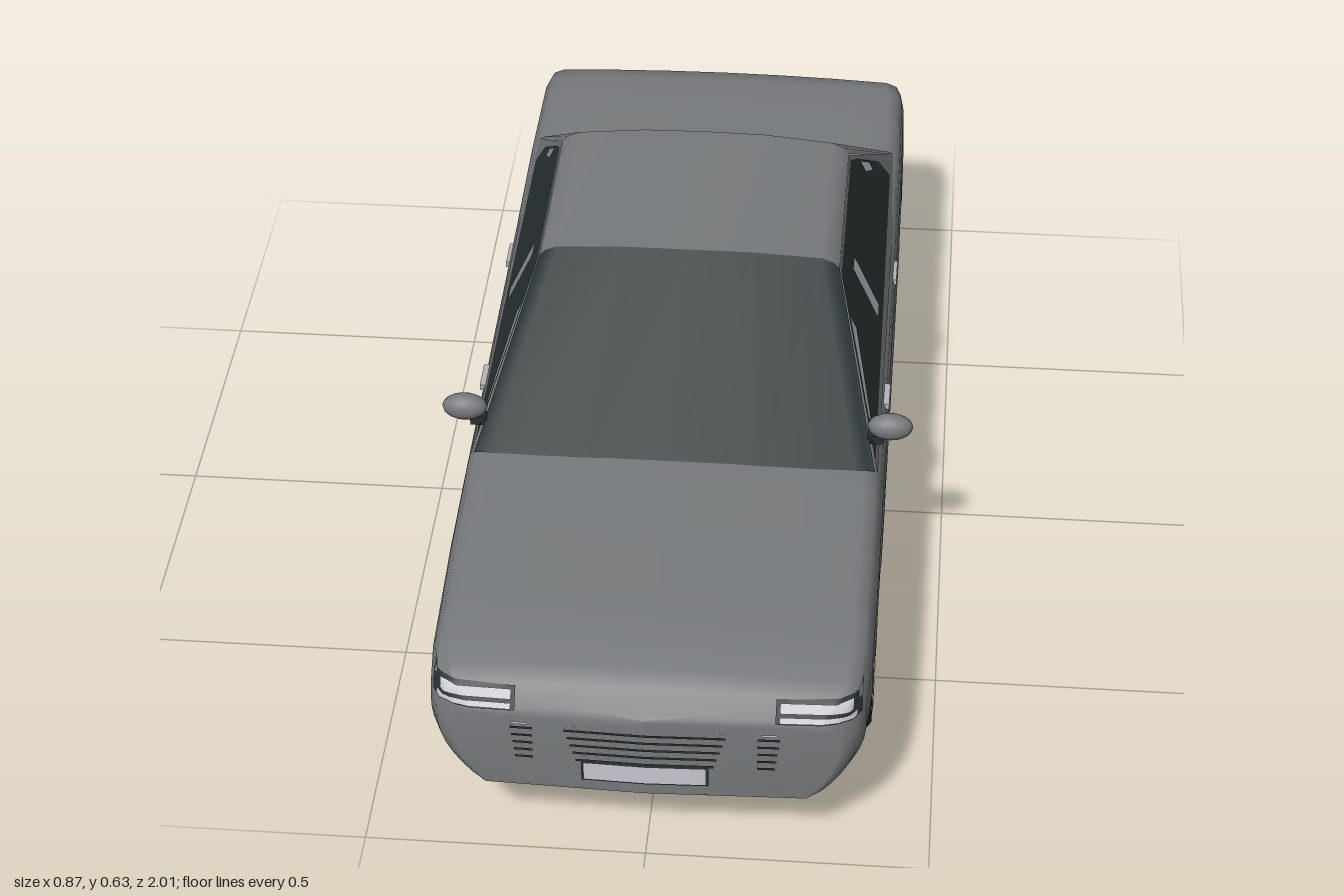
import * as THREE from 'three';

const mat = (name, color, side = THREE.FrontSide) =>
  Object.assign(new THREE.MeshStandardMaterial({ color, side }), { name });
const paint = mat('body paint', 0x777a7c, THREE.DoubleSide);
const glass = mat('dark glass', 0x293233);
const rubber = mat('rubber and underbody', 0x2a3130, THREE.DoubleSide);
const metal = mat('wheel metal', 0xb4b6b9);
const pale = mat('lamp and plate white', 0xc8c8d2);
const red = mat('tail lamp red', 0xdc422d);

const AXLES = [0.59, -0.605], ARCH = 0.165, HUB_Y = 0.138;

// Smooth surface through rows of [x, y, z] points
function grid(rows) {
  const n = rows[0].length, index = [];
  for (let i = 0; i < rows.length - 1; i++)
    for (let j = 0; j < n - 1; j++) {
      const a = i * n + j, b = a + 1, c = a + n, d = c + 1;
      index.push(a, b, d, a, d, c);
    }
  const g = new THREE.BufferGeometry();
  g.setAttribute('position', new THREE.Float32BufferAttribute(rows.flat(2), 3));
  g.setIndex(index);
  g.computeVertexNormals();
  return g;
}

// Linear lookup in a table sorted by falling z
function lookup(table, z, col) {
  for (let i = 0; i < table.length - 1; i++) {
    const a = table[i], b = table[i + 1];
    if (z <= a[0] && z >= b[0]) return a[col] + (b[col] - a[col]) * (a[0] - z) / (a[0] - b[0]);
  }
  return table[table.length - 1][col];
}

// Body stations: z, half width, top height
const BODY = [[1, 0, 0.31], [0.99, 0.335, 0.318], [0.965, 0.365, 0.352], [0.93, 0.38, 0.368],
  [0.85, 0.387, 0.382], [0.6, 0.39, 0.398], [0.4, 0.39, 0.406], [0, 0.39, 0.413],
  [-0.4, 0.39, 0.42], [-0.65, 0.39, 0.431], [-0.88, 0.387, 0.436], [-0.925, 0.383, 0.426],
  [-0.955, 0.376, 0.4], [-0.978, 0.364, 0.35], [-0.991, 0.335, 0.318], [-1, 0, 0.31]];

// How far a station lies into the nose or tail overhang, 0 to 1
const overhang = z => Math.max(0, (Math.abs(z) - 0.765) / 0.235);

function bodyEdge(z) {
  const o = overhang(z);
  let y = o > 0 ? 0.12 + 0.025 * o : 0.15;
  for (const c of AXLES) {
    const d = ARCH * ARCH - (z - c) ** 2;
    if (d > 0) y = Math.max(y, HUB_Y + Math.sqrt(d));
  }
  return y;
}

function bodySection(z) {
  const w = lookup(BODY, z, 1), top = lookup(BODY, z, 2), low = bodyEdge(z), half = [];
  const tuck = 0.07 + 0.08 * overhang(z);
  for (let k = 0; k <= 7; k++) {
    const y = low + (top - 0.055 - low) * k / 7;
    const s = y < 0.27 ? 1 - tuck * ((0.27 - y) / 0.12) ** 2 : 1 - 0.008 * (y - 0.27) / 0.1;
    half.push([w * s, y]);
  }
  for (const [s, d] of [[0.98, 0.032], [0.955, 0.013], [0.9, 0.004], [0.6, -0.001], [0.3, -0.004]])
    half.push([w * s, top - d]);
  return [...half.map(([x, y]) => [-x, y, z]), [0, top + 0.005, z],
    ...half.reverse().map(([x, y]) => [x, y, z])];
}

function bodyShell() {
  const zs = BODY.map(s => s[0]).concat([0.77, -0.78, 0.2, -0.2]);
  for (const c of AXLES)
    for (let k = 0; k <= 16; k++) zs.push(c + ARCH * Math.cos(Math.PI * k / 16));
  return grid([...new Set(zs)].sort((a, b) => b - a).map(bodySection));
}

// Flat side panel drawn in (z, y), leaned onto the cabin side
const sideX = y => 0.372 - (y - 0.41) * 0.455;
function sidePanel(outline, holes, side) {
  const v = p => p.map(([z, y]) => new THREE.Vector2(z, y));
  const shape = new THREE.Shape(v(outline));
  holes.forEach(h => shape.holes.push(new THREE.Path(v(h))));
  const g = new THREE.ShapeGeometry(shape), p = g.attributes.position;
  for (let i = 0; i < p.count; i++) {
    const z = p.getX(i), y = p.getY(i);
    p.setXYZ(i, side * sideX(y), y, z);
  }
  if (side > 0) g.index.array.reverse();
  g.computeVertexNormals();
  return g;
}

function makeWheel(front) {
  const wheel = new THREE.Group();
  const add = (name, geo, m) => {
    const o = new THREE.Mesh(geo, m);
    o.name = name;
    wheel.add(o);
    return o;
  };
  const lathe = pts => new THREE.LatheGeometry(pts.map(p => new THREE.Vector2(...p)), 32).rotateZ(-Math.PI / 2);
  add('tyre', lathe([[0.105, -0.047], [0.126, -0.047], [0.135, -0.04], [0.138, -0.03], [0.138, 0.03],
    [0.135, 0.04], [0.126, 0.047], [0.105, 0.047], [0.105, -0.047]]), rubber);
  add('rim', lathe([[0.097, 0.02], [0.107, 0.02], [0.107, 0.048], [0.101, 0.049], [0.097, 0.02]]), metal);
  add('hub', new THREE.CylinderGeometry(0.02, 0.024, 0.03, 16).rotateZ(-Math.PI / 2), metal).position.x = 0.03;
  for (let k = 0; k < 6; k++)
    add('spoke', new THREE.BoxGeometry(0.014, 0.088, 0.015).translate(0.032, 0.056, 0)
      .rotateX(k * Math.PI / 3), metal);
  if (front) add('brakeBackplate', new THREE.CircleGeometry(0.11, 24).rotateY(Math.PI / 2), rubber).position.x = -0.04;
  return wheel;
}

export function createModel() {
  const car = new THREE.Group();
  car.name = 'saloonCar';
  const add = (name, geo, m) => {
    const o = new THREE.Mesh(geo, m);
    o.name = name;
    car.add(o);
    return o;
  };
  const body = add('bodyShell', bodyShell(), paint);

  // Underbody: z, half width, edge height, centre height
  const under = [[0.997, 0.1, 0.146, 0.145], [0.988, 0.285, 0.146, 0.143], [0.95, 0.318, 0.141, 0.132],
    [0.87, 0.338, 0.132, 0.115], [0.765, 0.345, 0.122, 0.1],
    [0.755, 0.28, 0.112, 0.098], [0.43, 0.28, 0.112, 0.09], [0.42, 0.35, 0.112, 0.088]];
  const floor = [...under, ...under.map(([z, ...r]) => [-z - 0.003, ...r]).reverse()];
  add('underbody', grid(floor.map(([z, w, e, c]) =>
    [[w, e], [w * 0.75, (e + c) / 2], [w * 0.4, c], [-w * 0.4, c], [-w * 0.75, (e + c) / 2], [-w, e]]
      .map(([x, y]) => [x, y, z]))), rubber);

  // Roof, windscreen and rear window share one cross-section
  const half = [[0.284, 0.602], [0.273, 0.614], [0.25, 0.624], [0.12, 0.633]];
  const mirrorRow = h => [...h.map(([x, y]) => [-x, y]), [0, h[3][1] + 0.001], ...[...h].reverse()];
  const row = (h, z, bow = 0) => mirrorRow(h).map(([x, y]) => [x, y, z + bow * (1 - (x / 0.37) ** 2)]);
  const roofFront = row(half, 0.025, 0.012), roofBack = row(half, -0.36, -0.015);
  add('roof', grid([roofFront, roofBack]), paint);
  const screenBase = row([[0.37, 0.402], [0.357, 0.404], [0.335, 0.405], [0.16, 0.408]], 0.39, 0.012);
  add('windscreen', grid([screenBase, roofFront]), glass);
  const rearBase = row([[0.366, 0.42], [0.364, 0.424], [0.36, 0.429], [0.17, 0.433]], -0.645, -0.01);
  const cols = (a, b) => grid([roofBack.slice(a, b), rearBase.slice(a, b)]);
  add('rearWindow', cols(2, 7), glass);
  add('rightRearPillar', cols(0, 3), paint);
  add('leftRearPillar', cols(6, 9), paint);

  const frame = [[0.4, 0.403], [0.025, 0.602], [-0.36, 0.602], [-0.65, 0.423], [-0.65, 0.4]];
  const pane = [[0.37, 0.414], [0.035, 0.594], [-0.355, 0.594], [-0.4, 0.57], [-0.53, 0.48], [-0.56, 0.428]];
  const gaps = [[[0.29, 0.44], [0.29, 0.451], [0.11, 0.547], [0.11, 0.522]],
    [[-0.045, 0.44], [-0.045, 0.55], [-0.085, 0.55], [-0.085, 0.44]],
    [[-0.415, 0.553], [-0.465, 0.519], [-0.465, 0.502], [-0.415, 0.53]]];

  for (const s of [1, -1]) {
    const n = s > 0 ? 'left' : 'right';
    add(n + 'WindowFrame', sidePanel(frame, [pane], s), paint);
    add(n + 'SideGlass', sidePanel(pane, gaps, s), glass);

    // Door mirror and stalk
    const mirror = add(n + 'Mirror', new THREE.SphereGeometry(1, 16, 10), paint);
    mirror.scale.set(0.042, 0.026, 0.024);
    mirror.position.set(s * 0.394, 0.455, 0.32);
    add(n + 'MirrorStalk', new THREE.BoxGeometry(0.03, 0.018, 0.02), rubber).position.set(s * 0.368, 0.433, 0.325);

    for (const z of [0.13, -0.28])
      add(n + 'DoorHandle', new THREE.BoxGeometry(0.012, 0.012, 0.065), metal).position.set(s * 0.383, 0.381, z);

    AXLES.forEach((z, i) => {
      const end = n + (i ? 'Rear' : 'Front');
      const wheel = makeWheel(i === 0);
      wheel.name = end + 'Wheel';
      wheel.position.set(s * 0.338, HUB_Y, z);
      if (s < 0) wheel.rotation.y = Math.PI;
      car.add(wheel);

      // Wheel well
      const liner = [];
      for (let k = 0; k <= 16; k++) {
        const a = Math.PI * k / 16, y = HUB_Y + ARCH * Math.sin(a), lz = z + ARCH * Math.cos(a);
        liner.push([[s > 0 ? 0.378 : -0.25, y, lz], [s > 0 ? 0.25 : -0.378, y, lz]]);
      }
      add(end + 'WheelWell', grid(liner), rubber);
    });
    add(n + 'FrontWheelWellWall', new THREE.CircleGeometry(ARCH, 24, 0, Math.PI).rotateY(s * Math.PI / 2), rubber)
      .position.set(s * 0.25, HUB_Y, AXLES[0]);
  }

  // Thin details laid onto the nose (end 1) or tail (end -1)
  const ray = new THREE.Raycaster();
  const decal = (name, m, end, x0, x1, y0, y1, lift = 0.003) => {
    const g = new THREE.PlaneGeometry(x1 - x0, y1 - y0, 20, 5);
    if (end < 0) g.rotateY(Math.PI);
    g.translate((x0 + x1) / 2, (y0 + y1) / 2, 0);
    const p = g.attributes.position;
    for (let i = 0; i < p.count; i++) {
      ray.set(new THREE.Vector3(p.getX(i), p.getY(i), end * 2), new THREE.Vector3(0, 0, -end));
      const hit = ray.intersectObject(body)[0];
      p.setZ(i, (hit ? hit.point.z : end * 0.93) + end * lift);
    }
    g.computeVertexNormals();
    add(name, g, m);
  };
  const pair = (name, m, end, x0, x1, ...rest) => {
    decal(name, m, end, x0, x1, ...rest);
    decal(name, m, end, -x1, -x0, ...rest);
  };
  pair('headlampSurround', rubber, 1, 0.225, 0.372, 0.316, 0.352);
  pair('headlampUpper', pale, 1, 0.232, 0.358, 0.333, 0.348, 0.006);
  pair('headlampLower', pale, 1, 0.232, 0.365, 0.319, 0.328, 0.006);
  for (let k = 0; k < 5; k++) {
    const y = 0.212 + k * 0.0165, w = 0.12 + k * 0.005;
    decal('grilleSlot', rubber, 1, -w, w, y, y + 0.005);
    pair('sideSlot', rubber, 1, 0.195, 0.226 + k * 0.002, y, y + 0.005);
  }
  pair('markerLamp', pale, 1, 0.203, 0.233, 0.288, 0.293);
  pair('innerMarker', pale, 1, 0.121, 0.135, 0.288, 0.292);
  decal('frontPlateEdge', rubber, 1, -0.111, 0.111, 0.169, 0.216);
  decal('frontPlate', pale, 1, -0.107, 0.107, 0.173, 0.212, 0.006);
  pair('tailLamp', red, -1, 0.225, 0.368, 0.338, 0.378, 0.006);
  decal('rearPlateEdge', rubber, -1, -0.104, 0.104, 0.221, 0.274);
  decal('rearPlate', pale, -1, -0.1, 0.1, 0.225, 0.27, 0.006);
  return car;
}
